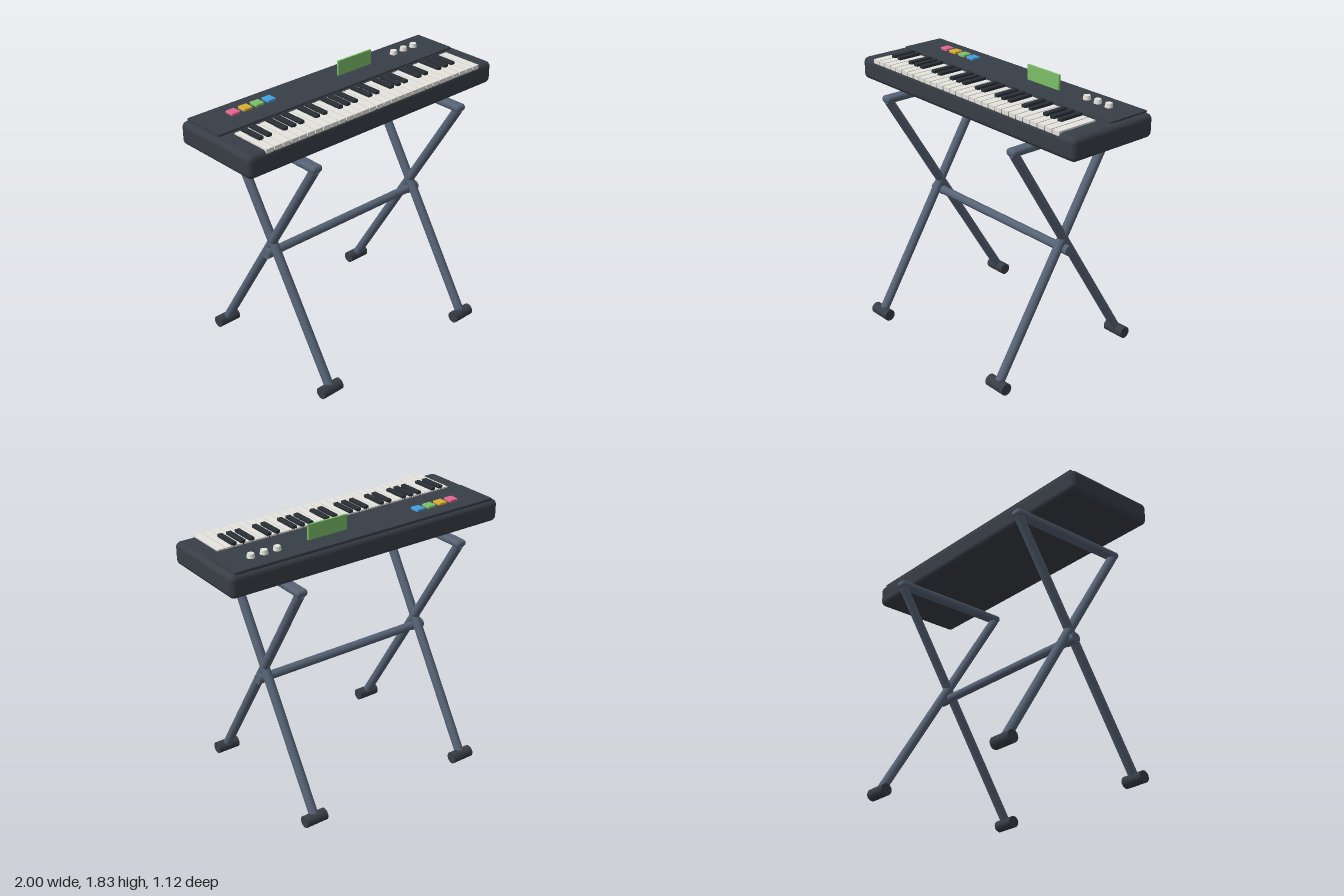
import * as THREE from 'three';
import { RoundedBoxGeometry } from 'three/addons/geometries/RoundedBoxGeometry.js';

const paint = (name, color) => {
  const m = new THREE.MeshStandardMaterial({ color });
  m.name = name;
  return m;
};

export function createModel() {
  const charcoal = paint('charcoal', 0x383e46);
  const black = paint('black', 0x2a2f36);
  const ivory = paint('ivory', 0xe6e4de);
  const steel = paint('steel', 0x566375);
  const pink = paint('pink', 0xe0668f);
  const gold = paint('gold', 0xd9ac35);
  const green = paint('green', 0x7cbf6a);
  const blue = paint('blue', 0x459fde);

  const root = new THREE.Group();
  root.name = 'keyboardOnStand';
  const keyboard = new THREE.Group();
  keyboard.name = 'keyboard';
  const stand = new THREE.Group();
  stand.name = 'stand';
  root.add(keyboard, stand);

  const add = (parent, name, geometry, material, x, y, z) => {
    const mesh = new THREE.Mesh(geometry, material);
    mesh.name = name;
    mesh.position.set(x, y, z);
    parent.add(mesh);
    return mesh;
  };
  const box = (w, h, d, r) => r ? new RoundedBoxGeometry(w, h, d, 3, r) : new THREE.BoxGeometry(w, h, d);

  // Round bar between two points
  const bar = (parent, name, a, b, radius, material) => {
    const dir = b.clone().sub(a);
    const mesh = add(parent, name, new THREE.CylinderGeometry(radius, radius, dir.length(), 20), material, 0, 0, 0);
    mesh.position.copy(a).add(b).multiplyScalar(0.5);
    mesh.quaternion.setFromUnitVectors(new THREE.Vector3(0, 1, 0), dir.normalize());
  };
  const v = (x, y, z) => new THREE.Vector3(x, y, z);

  // Case and raised control panel
  add(keyboard, 'case', box(2, 0.147, 0.64, 0.035), charcoal, 0, 1.6435, 0);
  add(keyboard, 'controlPanel', box(1.92, 0.02, 0.3, 0.004), charcoal, 0, 1.72, -0.152);

  // Four octaves of keys plus a final C
  const count = 29, pitch = 0.0605, left = -count * pitch / 2;
  const whiteKey = box(0.054, 0.033, 0.283);
  const blackKey = box(0.034, 0.035, 0.168, 0.004);
  for (let i = 0; i < count; i++) {
    add(keyboard, 'whiteKey', whiteKey, ivory, left + (i + 0.5) * pitch, 1.7105, 0.1735);
    if ([1, 2, 4, 5, 6].includes(i % 7)) {
      add(keyboard, 'blackKey', blackKey, black, left + i * pitch, 1.7275, 0.118);
    }
  }

  // Coloured pads
  [pink, gold, green, blue].forEach((m, i) => {
    add(keyboard, 'pad', box(0.064, 0.022, 0.066, 0.006), m, -0.722 + i * 0.09, 1.735, -0.175);
  });

  // Upright display
  add(keyboard, 'display', box(0.28, 0.1, 0.014), green, 0.235, 1.777, -0.163);

  // Control knobs
  const knob = new THREE.CylinderGeometry(0.021, 0.026, 0.028, 16);
  for (let i = 0; i < 3; i++) add(keyboard, 'knob', knob, ivory, 0.598 + i * 0.09, 1.742, -0.175);

  // Crossed legs, feet and top rails on both sides
  for (const side of [-1, 1]) {
    const x = side * 0.6;
    add(stand, 'topRail', box(0.075, 0.046, 0.872, 0.02), steel, x, 1.546, 0);
    for (const s of [-1, 1]) {
      bar(stand, 'leg', v(x, 0.04, s * 0.52), v(x, 1.535, -s * 0.405), 0.03, steel);
      bar(stand, 'foot', v(x - 0.077, 0.039, s * 0.52), v(x + 0.077, 0.039, s * 0.52), 0.039, charcoal);
    }
    bar(stand, 'collar', v(side * 0.575, 0.808, 0), v(side * 0.66, 0.808, 0), 0.032, steel);
  }

  // Crossbar joining the two sides
  bar(stand, 'crossbar', v(-0.6, 0.808, 0), v(0.6, 0.808, 0), 0.028, steel);

  return root;
}
